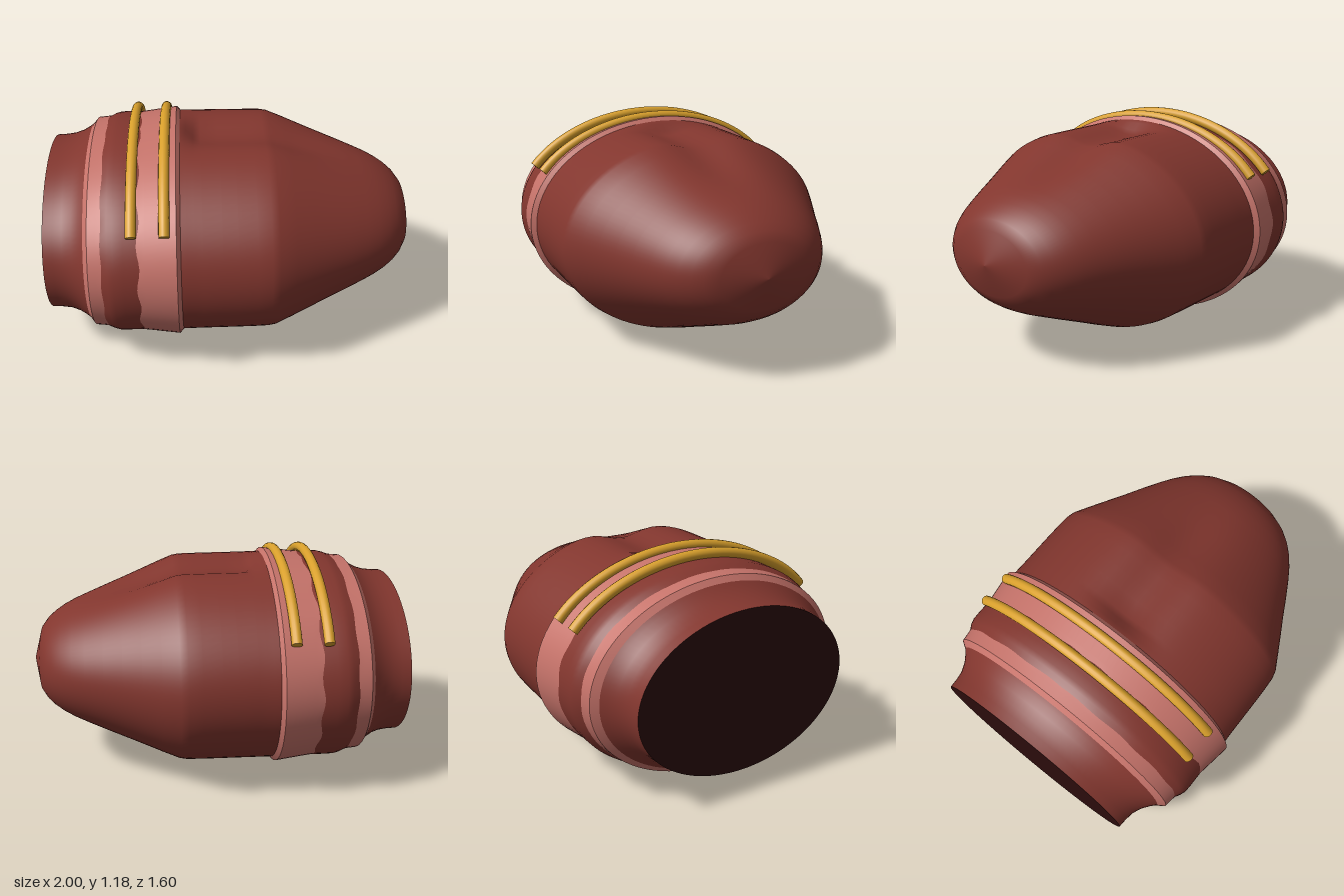
import * as THREE from 'three';

const CY = 0.58;   // height of the long axis
const SEG = 96;

const mats = {
  maroon: new THREE.MeshStandardMaterial({ name: 'maroon', color: 0x82362e }),
  pink: new THREE.MeshStandardMaterial({ name: 'dusty pink', color: 0xc6736a }),
  gold: new THREE.MeshStandardMaterial({ name: 'gold', color: 0xd9a02c }),
  dark: new THREE.MeshStandardMaterial({ name: 'dark end', color: 0x2c0c0c }),
};

// Shallow groove along the top of the nose section
function groove(x, z) {
  const along = THREE.MathUtils.smoothstep(x, -0.29, -0.18) * (1 - THREE.MathUtils.smoothstep(x, 0.2, 0.8));
  return 0.07 * along * Math.exp(-((z / 0.16) ** 2));
}

// Skin over elliptical rings [x, half height, half width, ragged edge size]
function loft(name, material, rings, dent = false) {
  const pos = [], index = [];
  rings.forEach(([x, ry, rz, rag = 0]) => {
    for (let j = 0; j < SEG; j++) {
      const a = (j / SEG) * Math.PI * 2;
      const z = rz * Math.sin(a);
      let y = CY + ry * Math.cos(a);
      if (dent && y > CY) y -= groove(x, z);
      pos.push(x + rag * Math.sin(j * 7.3), y, z);
    }
  });
  for (let i = 0; i < rings.length - 1; i++) {
    for (let j = 0; j < SEG; j++) {
      const k = (j + 1) % SEG;
      const a = i * SEG + j, b = i * SEG + k;
      index.push(a, b, a + SEG, b, b + SEG, a + SEG);
    }
  }
  const geo = new THREE.BufferGeometry();
  geo.setAttribute('position', new THREE.Float32BufferAttribute(pos, 3));
  geo.setIndex(index);
  geo.computeVertexNormals();
  const mesh = new THREE.Mesh(geo, material);
  mesh.name = name;
  return mesh;
}

// Gold bar arched over the top, with flat ends
function goldBar(x) {
  const bar = new THREE.Group();
  bar.name = 'goldBar';
  const pts = [];
  const reach = 1.02;
  for (let i = 0; i <= 24; i++) {
    const a = -reach + (2 * reach * i) / 24;
    pts.push(new THREE.Vector3(x, CY + 0.572 * Math.cos(a), 0.817 * Math.sin(a)));
  }
  const curve = new THREE.CatmullRomCurve3(pts);
  const tube = new THREE.Mesh(new THREE.TubeGeometry(curve, 40, 0.028, 14), mats.gold);
  tube.name = 'goldBarTube';
  bar.add(tube);
  for (const t of [0, 1]) {
    const cap = new THREE.Mesh(new THREE.CircleGeometry(0.028, 14), mats.gold);
    cap.name = 'goldBarEnd';
    const dir = curve.getTangent(t).multiplyScalar(t ? 1 : -1);
    cap.position.copy(curve.getPoint(t));
    cap.quaternion.setFromUnitVectors(new THREE.Vector3(0, 0, 1), dir);
    bar.add(cap);
  }
  return bar;
}

export function createModel() {
  const model = new THREE.Group();
  model.name = 'bandedCapsule';

  // Rear neck and its closed end
  model.add(loft('rearNeck', mats.maroon, [
    [-1, 0.435, 0.605], [-0.95, 0.437, 0.608], [-0.9, 0.443, 0.616],
    [-0.85, 0.458, 0.638], [-0.81, 0.479, 0.667], [-0.785, 0.497, 0.69],
  ]));
  const end = new THREE.Mesh(new THREE.CircleGeometry(1, SEG), mats.dark);
  end.name = 'rearEnd';
  end.scale.set(0.605, 0.435, 1);
  end.rotation.y = -Math.PI / 2;
  end.position.set(-1, CY, 0);
  model.add(end);

  // Narrow pink band: bevel, then flat face
  model.add(loft('rearBandBevel', mats.pink, [[-0.785, 0.497, 0.69], [-0.76, 0.525, 0.73]]));
  model.add(loft('rearBand', mats.pink, [
    [-0.76, 0.525, 0.73], [-0.72, 0.528, 0.735], [-0.692, 0.531, 0.74, 0.003],
  ]));

  // Maroon strip between the bands
  model.add(loft('middleStrip', mats.maroon, [
    [-0.692, 0.531, 0.74, 0.003], [-0.66, 0.544, 0.758], [-0.63, 0.551, 0.768],
    [-0.58, 0.552, 0.77], [-0.505, 0.552, 0.77, 0.008],
  ]));

  // Wide pink collar, its rim and front step
  model.add(loft('collar', mats.pink, [
    [-0.505, 0.552, 0.77, 0.008], [-0.47, 0.556, 0.775], [-0.31, 0.576, 0.8],
  ]));
  model.add(loft('collarRim', mats.pink, [[-0.31, 0.576, 0.8], [-0.29, 0.555, 0.772]]));

  // Tapered nose section
  model.add(loft('nose', mats.maroon, [
    [-0.29, 0.555, 0.772], [-0.26, 0.555, 0.771], [-0.22, 0.555, 0.77], [-0.18, 0.555, 0.77],
    [-0.08, 0.554, 0.77], [0, 0.554, 0.77], [0.1, 0.553, 0.769], [0.17, 0.552, 0.766],
    [0.21, 0.546, 0.757], [0.3, 0.511, 0.71], [0.4, 0.469, 0.657], [0.5, 0.428, 0.603],
    [0.6, 0.387, 0.552], [0.7, 0.345, 0.498], [0.77, 0.315, 0.456], [0.83, 0.284, 0.412],
    [0.88, 0.252, 0.364], [0.92, 0.218, 0.312], [0.955, 0.172, 0.243], [1, 0.001, 0.001],
  ], true));

  // Pair of gold bars
  for (const x of [-0.535, -0.37]) model.add(goldBar(x));

  return model;
}
